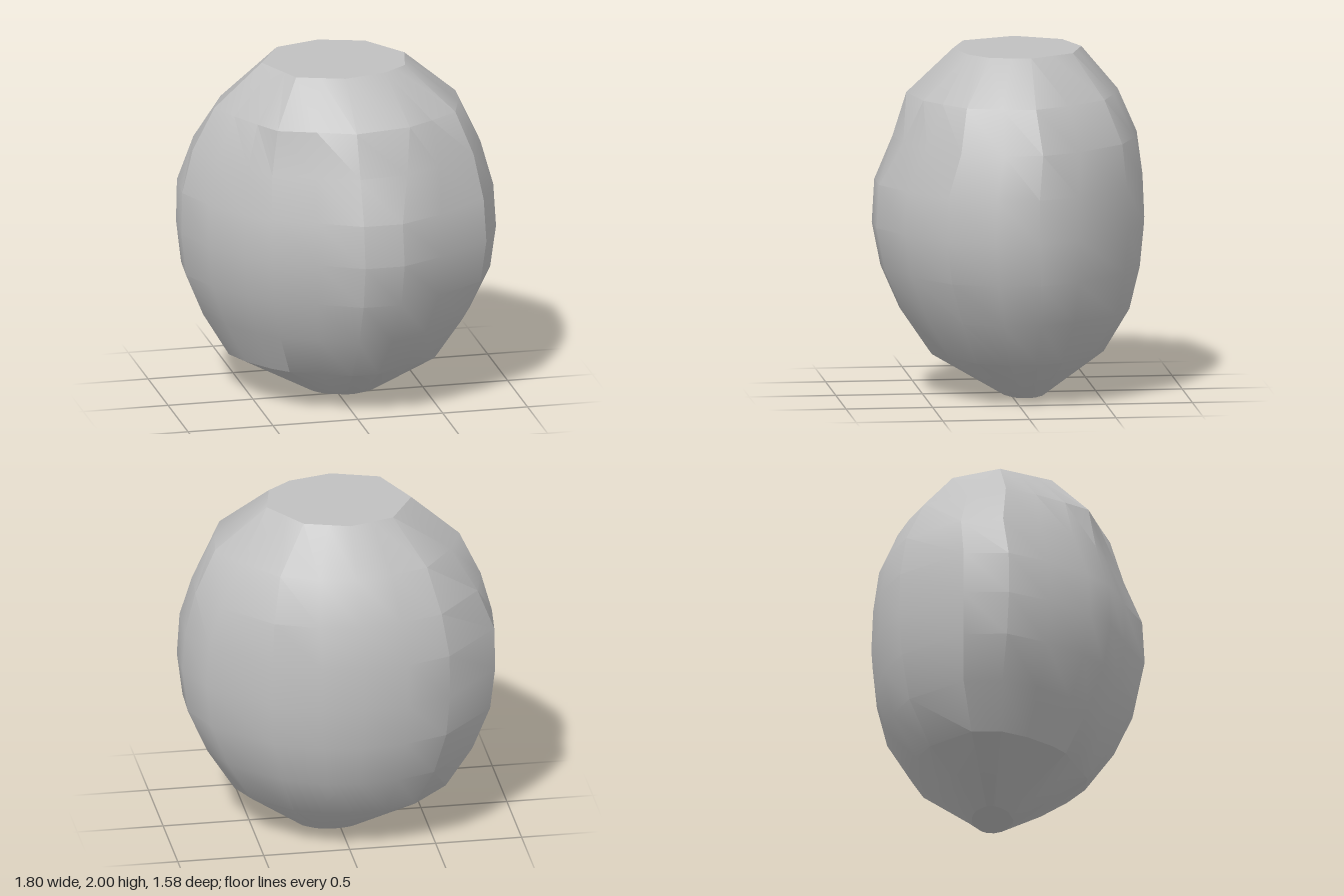
import * as THREE from 'three';
import { toCreasedNormals } from 'three/addons/utils/BufferGeometryUtils.js';

// Irregular plan outline at the waist, as [x, z]
const WAIST = [
  [-0.90, -0.08], [-0.87, -0.34], [-0.55, -0.68], [-0.29, -0.77], [-0.03, -0.79], [0.21, -0.76],
  [0.48, -0.64], [0.80, -0.32], [0.90, -0.08], [0.89, 0.17], [0.77, 0.44], [0.47, 0.65],
  [0.21, 0.78], [-0.02, 0.78], [-0.27, 0.65], [-0.51, 0.54], [-0.64, 0.41], [-0.80, 0.17],
];

// Nine-sided rim of the flat top, with extra points along its edges to match the waist
const RIM = [
  [-0.43, -0.08], [-0.355, -0.21], [-0.28, -0.34], [-0.15, -0.38], [-0.02, -0.42], [0.11, -0.38],
  [0.24, -0.34], [0.325, -0.21], [0.41, -0.08], [0.385, 0.035], [0.36, 0.15], [0.29, 0.205],
  [0.22, 0.26], [-0.03, 0.32], [-0.165, 0.275], [-0.30, 0.23], [-0.343, 0.127], [-0.387, 0.023],
];

// Cross-section extents: y, xMin, xMax, zMin, zMax, share of the rim's shape
const RINGS = [
  [0.00, -0.14, 0.23, -0.20, 0.04, 0],
  [0.25, -0.62, 0.60, -0.55, 0.46, 0],
  [0.50, -0.77, 0.76, -0.70, 0.63, 0],
  [0.75, -0.875, 0.87, -0.76, 0.74, 0],
  [1.00, -0.905, 0.90, -0.785, 0.79, 0],
  [1.25, -0.90, 0.885, -0.775, 0.775, 0],
  [1.50, -0.83, 0.83, -0.74, 0.67, 0.25],
  [1.75, -0.71, 0.71, -0.63, 0.59, 0.6],
  [2.00, -0.43, 0.41, -0.42, 0.32, 1],
];

// Scale an outline to fill -1..1 on both axes
function normalise(outline) {
  const box = new THREE.Box2().setFromPoints(outline.map(([x, z]) => new THREE.Vector2(x, z)));
  const c = box.getCenter(new THREE.Vector2());
  const s = box.getSize(new THREE.Vector2());
  return outline.map(([x, z]) => [2 * (x - c.x) / s.x, 2 * (z - c.y) / s.y]);
}

function makeBody() {
  const n = WAIST.length;
  const waist = normalise(WAIST);
  const rim = normalise(RIM);
  const positions = [];
  const index = [];

  for (const [y, x0, x1, z0, z1, t] of RINGS) {
    for (let i = 0; i < n; i++) {
      const u = THREE.MathUtils.lerp(waist[i][0], rim[i][0], t);
      const v = THREE.MathUtils.lerp(waist[i][1], rim[i][1], t);
      positions.push((x0 + x1) / 2 + u * (x1 - x0) / 2, y, (z0 + z1) / 2 + v * (z1 - z0) / 2);
    }
  }

  // Side wall
  for (let r = 0; r < RINGS.length - 1; r++) {
    for (let i = 0; i < n; i++) {
      const a = r * n + i;
      const b = r * n + (i + 1) % n;
      index.push(a, a + n, b + n, a, b + n, b);
    }
  }

  // Flat base and flat top
  const top = (RINGS.length - 1) * n;
  const baseCentre = positions.length / 3;
  positions.push(0.045, 0, -0.08, -0.01, 2, -0.05);
  for (let i = 0; i < n; i++) {
    const j = (i + 1) % n;
    index.push(baseCentre, i, j, baseCentre + 1, top + j, top + i);
  }

  const geometry = new THREE.BufferGeometry();
  geometry.setAttribute('position', new THREE.Float32BufferAttribute(positions, 3));
  geometry.setIndex(index);
  return toCreasedNormals(geometry, 0.5);
}

export function createModel() {
  const stoneGrey = new THREE.MeshStandardMaterial({ color: 0xc0c0c0 });
  stoneGrey.name = 'stone grey';
  const body = new THREE.Mesh(makeBody(), stoneGrey);
  body.name = 'stoneBody';
  const group = new THREE.Group();
  group.name = 'flatToppedStone';
  group.add(body);
  return group;
}
